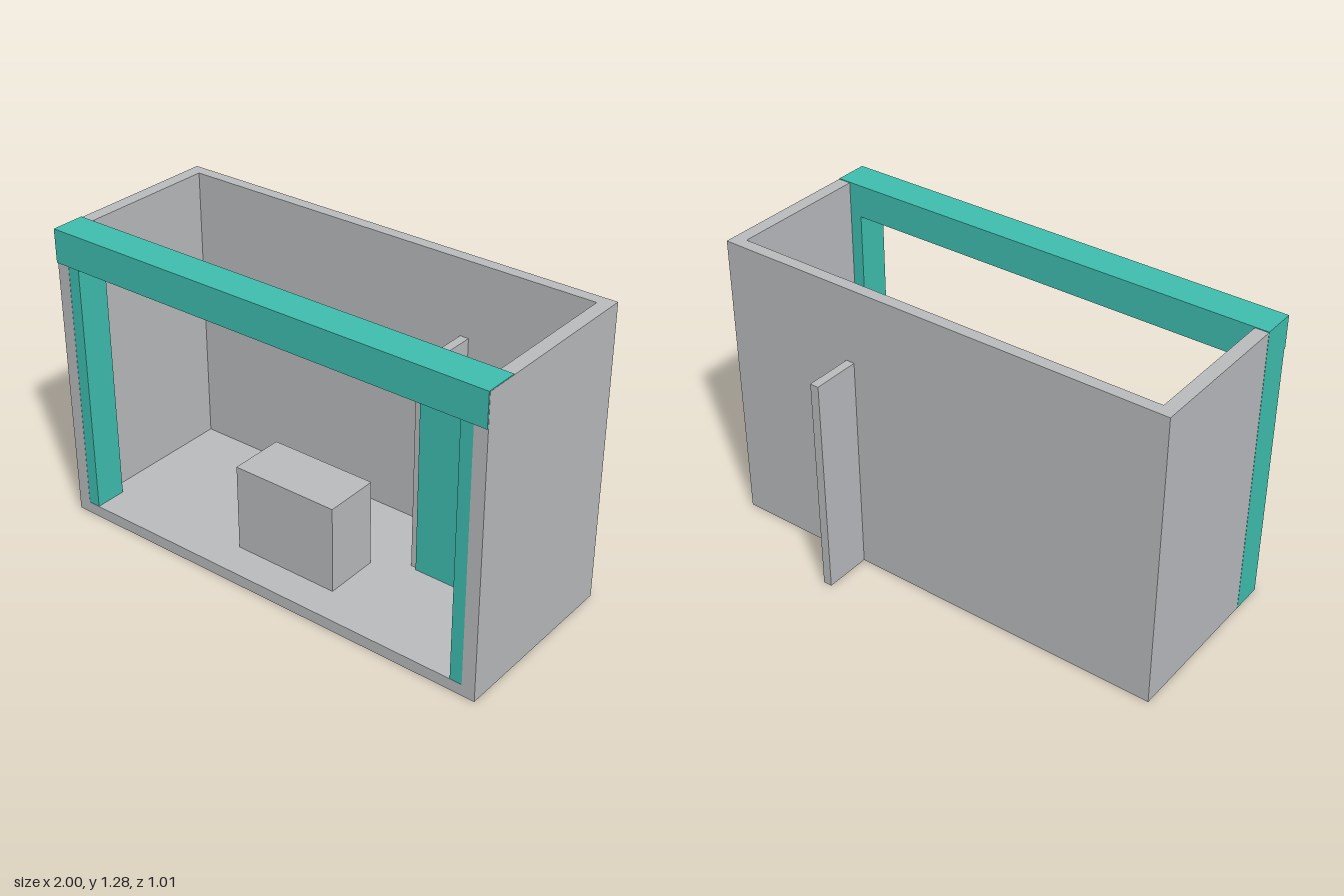
import * as THREE from 'three';

const grey = new THREE.MeshStandardMaterial({ color: 0xbcbdc0 });
grey.name = 'panel grey';
const teal = new THREE.MeshStandardMaterial({ color: 0x40c0b2 });
teal.name = 'accent teal';

// Box given by its lower and upper bounds on each axis
function block(name, material, [x0, x1], [y0, y1], [z0, z1]) {
  const mesh = new THREE.Mesh(new THREE.BoxGeometry(x1 - x0, y1 - y0, z1 - z0), material);
  mesh.position.set((x0 + x1) / 2, (y0 + y1) / 2, (z0 + z1) / 2);
  mesh.name = name;
  return mesh;
}

export function createModel() {
  const booth = new THREE.Group();
  booth.name = 'exhibitionBooth';
  const height = 1.28, inner = 0.943, floorTop = 0.05;

  booth.add(
    // Open-topped shell
    block('floor', grey, [-1, 1], [0, floorTop], [-0.3, 0.5]),
    block('backWall', grey, [-inner, inner], [floorTop, height], [-0.3, -0.25]),
    block('rightWall', grey, [-1, -inner], [floorTop, height], [-0.3, 0.5]),
    block('leftWall', grey, [inner, 1], [floorTop, height], [-0.3, 0.5]),

    // Front frame, slightly proud of the shell
    block('headerBeam', teal, [-1.001, 0.999], [1.14, height + 0.003], [0.36, 0.505]),
    block('rightPost', teal, [-1.001, -0.89], [0.001, 1.2], [0.36, 0.499]),
    block('leftPost', teal, [0.89, 0.999], [0.001, 1.2], [0.36, 0.499]),

    // Storage corner: a partition running out through the back wall, and its front panel
    block('partition', grey, [0.375, 0.413], [0.001, 0.96], [-0.505, 0.03]),
    block('storagePanel', teal, [0.405, inner], [floorTop, 0.96], [0, 0.042]),

    // Reception counter
    block('counter', grey, [-0.24, 0.237], [floorTop, 0.43], [0.115, 0.355]),
  );
  return booth;
}
